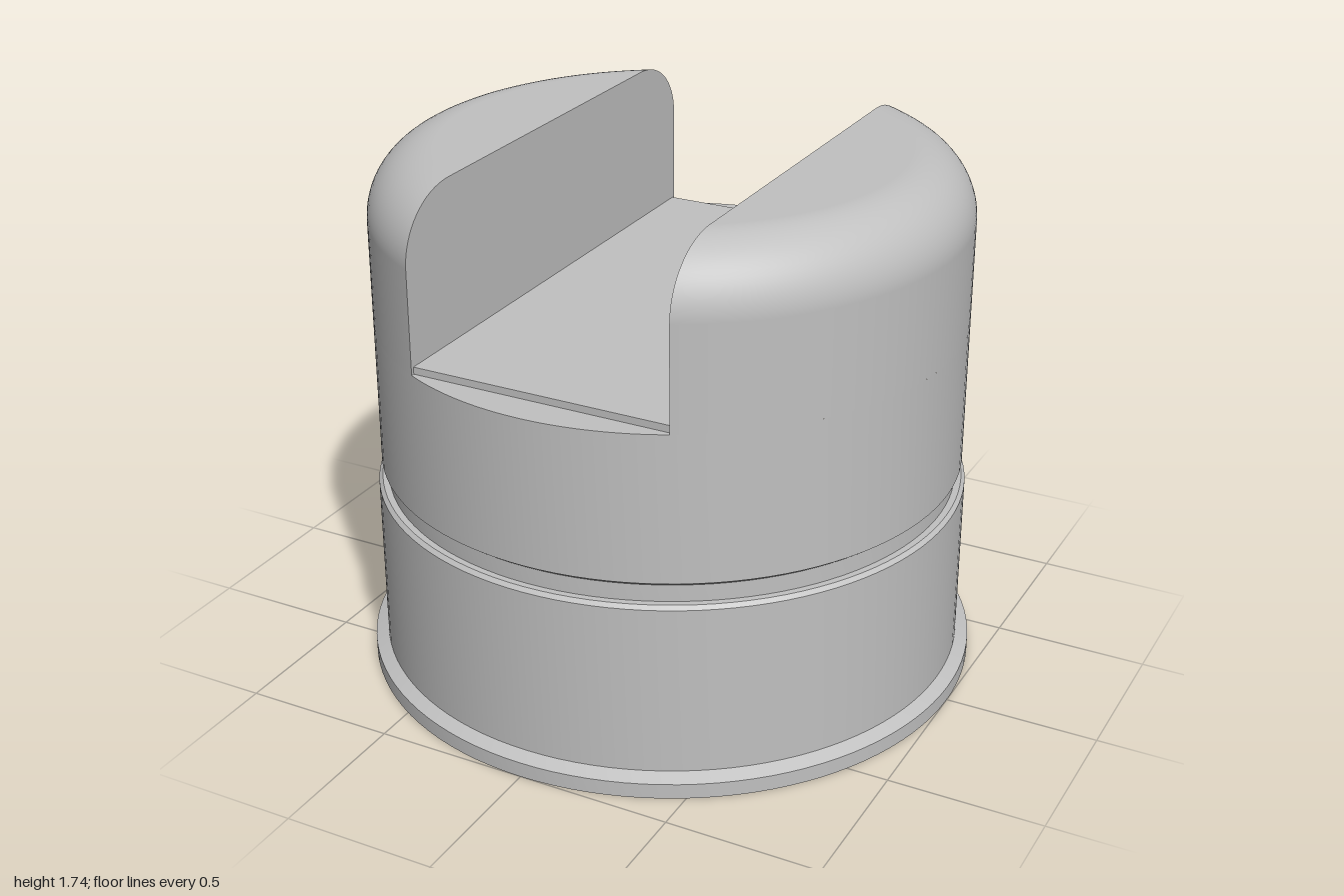
import * as THREE from 'three';
import { toCreasedNormals } from 'three/addons/utils/BufferGeometryUtils.js';

const R = 0.945;        // upper body radius
const SLOT = 0.43;      // half width of the slot
const LEDGE = 1.19;     // height of the ledges at the slot ends
const FLOOR = 1.213;    // height of the slot floor
const FLOOR_Z = 0.83;   // half length of the slot floor
const TOP = 1.735;
const FILLET = 0.21;    // rounding of the upper rim

const grey = new THREE.MeshStandardMaterial({ color: 0xc0c0c0 });
grey.name = 'grey';

function add(parent, name, geometry) {
  const mesh = new THREE.Mesh(geometry, grey);
  mesh.name = name;
  parent.add(mesh);
  return mesh;
}

// Cheek profile: straight side followed by a quarter-round rim
function cheekProfile() {
  const rows = [{ r: R, y: LEDGE, phi: 0 }];
  for (let i = 0; i <= 16; i++) {
    const phi = (i / 16) * Math.PI / 2;
    rows.push({
      r: R - FILLET + FILLET * Math.cos(phi),
      y: TOP - FILLET + FILLET * Math.sin(phi),
      phi,
    });
  }
  return rows;
}

// Curved outside of a cheek, each row trimmed by the slot plane
function cheekSkin(rows) {
  const cols = 56, pos = [], nor = [], idx = [];
  rows.forEach(({ r, y, phi }, i) => {
    const a = Math.acos(SLOT / r);
    for (let j = 0; j <= cols; j++) {
      const t = a * (2 * j / cols - 1);
      pos.push(r * Math.cos(t), y, r * Math.sin(t));
      nor.push(Math.cos(phi) * Math.cos(t), Math.sin(phi), Math.cos(phi) * Math.sin(t));
      if (i < rows.length - 1 && j < cols) {
        const p = i * (cols + 1) + j, q = p + cols + 1;
        idx.push(p, q, p + 1, q, q + 1, p + 1);
      }
    }
  });
  const g = new THREE.BufferGeometry();
  g.setAttribute('position', new THREE.Float32BufferAttribute(pos, 3));
  g.setAttribute('normal', new THREE.Float32BufferAttribute(nor, 3));
  g.setIndex(idx);
  return g;
}

function createCheek(name) {
  const cheek = new THREE.Group();
  cheek.name = name;
  const rows = cheekProfile();
  add(cheek, 'cheekSkin', cheekSkin(rows));

  // Flat wall facing the slot
  const edge = rows.map(({ r, y }) => new THREE.Vector2(Math.sqrt(r * r - SLOT * SLOT), y));
  const mirrored = edge.map((p) => new THREE.Vector2(-p.x, p.y)).reverse();
  const wall = new THREE.ShapeGeometry(new THREE.Shape([...edge, ...mirrored]));
  add(cheek, 'slotWall', wall.rotateY(-Math.PI / 2).translate(SLOT, 0, 0));

  // Flat top, a circle segment
  const r = R - FILLET, a = Math.acos(SLOT / r);
  const segment = new THREE.Shape().absarc(0, 0, r, -a, a, false);
  add(cheek, 'cheekTop', new THREE.ShapeGeometry(segment, 56).rotateX(-Math.PI / 2).translate(0, TOP, 0));
  return cheek;
}

// Thin ledge between the end of the slot floor and the outer rim
function ledgeGeometry() {
  const a = Math.acos(SLOT / R);
  const shape = new THREE.Shape();
  shape.moveTo(-SLOT, FLOOR_Z);
  shape.lineTo(SLOT, FLOOR_Z);
  shape.absarc(0, 0, R, a, Math.PI - a, false);
  return new THREE.ShapeGeometry(shape, 32).rotateX(-Math.PI / 2).translate(0, LEDGE, 0);
}

export function createModel() {
  const model = new THREE.Group();
  model.name = 'slottedCap';

  // Turned body: foot flange, lower drum, groove, upper drum
  const profile = [
    [0, 0], [1, 0], [1, 0.05], [0.958, 0.07], [0.958, 0.628], [0.946, 0.64],
    [0.925, 0.64], [0.925, 0.695], [0.945, 0.71], [R, LEDGE],
  ].map(([x, y]) => new THREE.Vector2(x, y));
  add(model, 'body', toCreasedNormals(new THREE.LatheGeometry(profile, 112), 0.35));

  // Raised slot floor
  const floor = new THREE.BoxGeometry(SLOT * 2, FLOOR - LEDGE, FLOOR_Z * 2);
  add(model, 'slotFloor', floor.translate(0, (FLOOR + LEDGE) / 2, 0));

  // Opposite halves, turned half way round
  ['left', 'right'].forEach((side, i) => {
    const cheek = createCheek(side + 'Cheek');
    cheek.rotation.y = i * Math.PI;
    model.add(cheek);
  });
  ['back', 'front'].forEach((side, i) => {
    add(model, side + 'Ledge', ledgeGeometry()).rotation.y = i * Math.PI;
  });
  return model;
}
